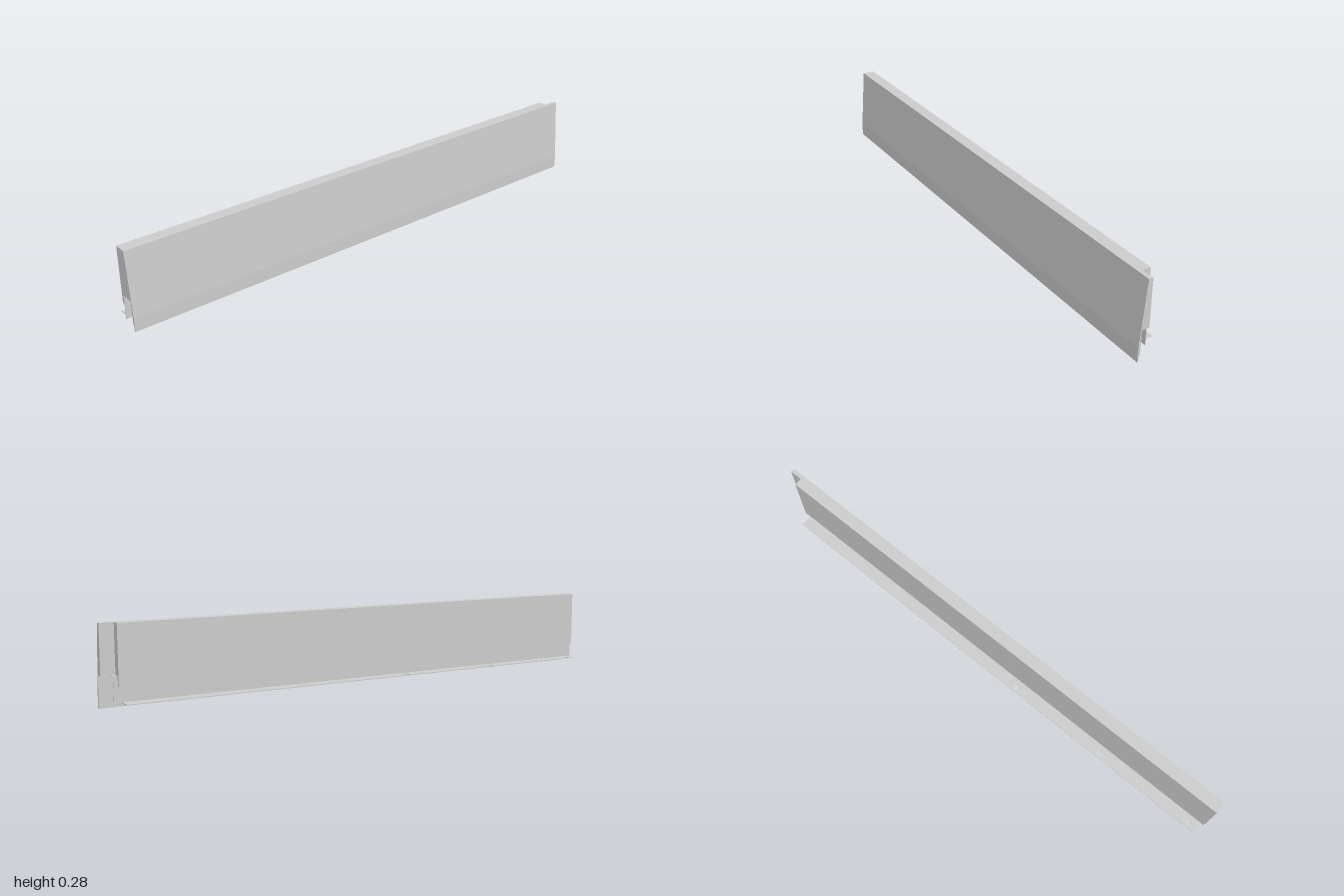
import * as THREE from 'three';

const material = new THREE.MeshStandardMaterial({ color: 0xcccccc });

// Extrude a cross-section in x/y along z from z0 to z1
function bar(name, points, z0, z1) {
  const shape = new THREE.Shape(points.map(([x, y]) => new THREE.Vector2(x, y)));
  const geometry = new THREE.ExtrudeGeometry(shape, { depth: z1 - z0, bevelEnabled: false });
  geometry.translate(0, 0, z0);
  const mesh = new THREE.Mesh(geometry, material);
  mesh.name = name;
  return mesh;
}

// Horizontal mounting flange with screw holes
function mountingFlange(x0, x1, z0, z1, top, thickness) {
  const shape = new THREE.Shape();
  shape.moveTo(x0, z0).lineTo(x1, z0).lineTo(x1, z1).lineTo(x0, z1).closePath();
  for (const z of [0.15, 0.55, 0.95]) {
    const hole = new THREE.Path();
    hole.absarc(-0.036, z, 0.012, 0, Math.PI * 2, true);
    shape.holes.push(hole);
  }
  const geometry = new THREE.ExtrudeGeometry(shape, { depth: thickness, bevelEnabled: false, curveSegments: 16 });
  geometry.rotateX(Math.PI / 2).translate(0, top, 0);
  const mesh = new THREE.Mesh(geometry, material);
  mesh.name = 'mountingFlange';
  return mesh;
}

export function createModel() {
  const group = new THREE.Group();
  group.name = 'trimRail';

  // Sloped front face with the drip lip, shared by both lengths of the rail
  const face = [
    [0.043, 0.112], [0.043, 0.022], [0.048, 0.022], [0.048, 0],
    [0.052, 0], [0.0515, 0.05], [0.032, 0.285],
  ];

  // Full-width rail, and the narrower notched end behind it
  group.add(bar('railBody', [
    [-0.014, 0.285], [-0.014, 0.077], [-0.005, 0.077], [-0.005, 0.112], ...face,
  ], -0.95, 1));
  group.add(bar('notchedEnd', [[0.016, 0.285], [0.016, 0.112], ...face], -1, -0.95));

  // Thin angle bracket under the rail
  group.add(bar('bracketPlate', [
    [-0.005, 0.022], [-0.003, 0.022], [-0.003, 0.11], [0.043, 0.11], [0.043, 0.112], [-0.005, 0.112],
  ], -0.965, 1));
  group.add(mountingFlange(-0.052, -0.005, -0.938, 0.99, 0.024, 0.002));

  return group;
}
